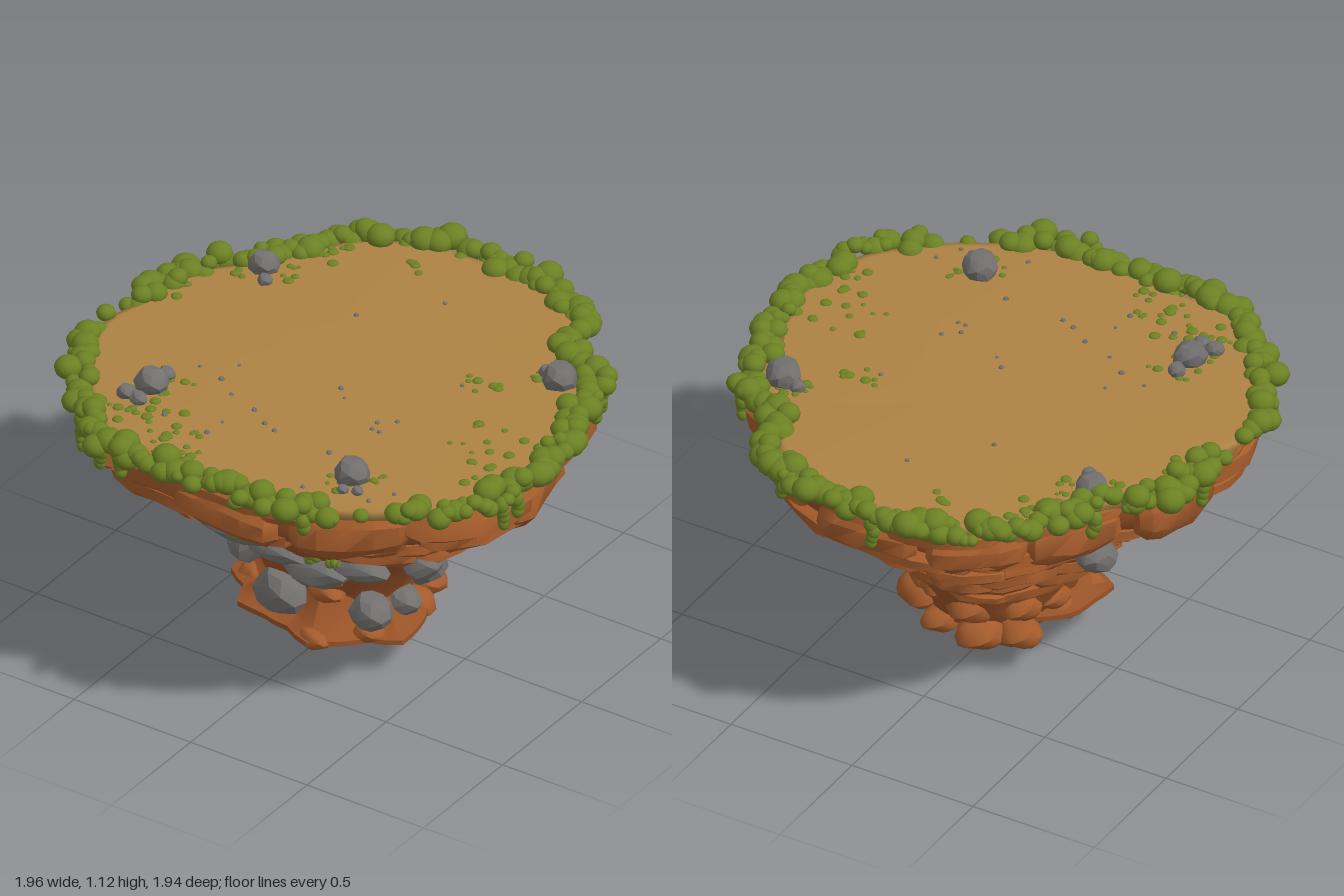
import * as THREE from 'three';
import { mergeGeometries, toCreasedNormals } from 'three/addons/utils/BufferGeometryUtils.js';

const TAU = Math.PI * 2, DEG = Math.PI / 180;
let seed = 7;
const rnd = (a = 0, b = 1) => {
  seed = (seed * 16807) % 2147483647;
  return a + (b - a) * seed / 2147483647;
};

// Plan shapes: one radius every 15 degrees, from +x towards +z
const OUTLINE = [.88, .95, .97, .94, .92, .91, .87, .89, .97, .95, .95, .95,
  .88, .87, .81, .82, .88, .90, .88, .89, .89, .80, .87, .85];
const LEDGE = [.34, .39, .44, .39, .43, .46, .39, .40, .44, .38, .42, .37,
  .34, .28, .24, .24, .24, .24, .24, .24, .24, .24, .24, .28];
function radiusAt(list, a) {
  const t = (((a / TAU) % 1) + 1) % 1 * 24, i = Math.floor(t), f = t - i;
  const s = f * f * (3 - 2 * f);
  return list[i % 24] * (1 - s) + list[(i + 1) % 24] * s;
}
const outline = a => radiusAt(OUTLINE, a);

// Side profile: [height, share of the outline]
const PROFILE = [[0, .04], [.05, .12], [.1, .2], [.15, .29], [.25, .33], [.35, .385], [.44, .47], [.54, .58],
  [.63, .67], [.72, .74], [.8, .81], [.84, .95], [.92, .97], [1.02, .97]];
function share(y) {
  const k = Math.max(1, PROFILE.findIndex(p => p[0] >= y));
  const [y0, s0] = PROFILE[k - 1], [y1, s1] = PROFILE[k];
  return s0 + (s1 - s0) * (y - y0) / (y1 - y0);
}
// The front face is scooped in halfway up
const envelope = (a, y) => outline(a) * share(y) -
  .06 * Math.max(0, Math.sin(a)) * Math.max(0, 1 - Math.abs(y - .49) / .14);
const polar = (a, r, y) => new THREE.Vector3(r * Math.cos(a), y, r * Math.sin(a));

// Surface from a grid of points; rows run upwards, columns run with the angle
function grid(rows, cols, fn) {
  const pos = [], idx = [], w = cols + 1;
  for (let i = 0; i <= rows; i++) for (let j = 0; j <= cols; j++) pos.push(...fn(i, j).toArray());
  for (let i = 0; i < rows; i++) for (let j = 0; j < cols; j++) {
    const p = i * w + j;
    idx.push(p, p + w, p + 1, p + 1, p + w, p + w + 1);
  }
  const g = new THREE.BufferGeometry();
  g.setAttribute('position', new THREE.Float32BufferAttribute(pos, 3));
  g.setIndex(idx);
  g.computeVertexNormals();
  return g;
}

// Rock slab bent along the outline, with tapered ends and uneven edges
function slab(a, span, y, h, depth, out) {
  const along = [0, 0, .09, .3, .52, .75, .91, 1, 1], taper = [0, .55, .9, 1, 1.03, 1, .9, .55, 0];
  const uneven = Array.from({ length: 72 }, () => rnd(.86, 1.08));
  const tilt = rnd(-.03, .03);
  const g = grid(8, 8, (k, j) => {
    const t = (k % 8 + .5) / 8 * TAU, n = uneven[j * 8 + k % 8] * taper[j];
    const ang = a + (along[j] - .5) * span;
    return polar(ang, envelope(ang, y) + out - depth + depth * 1.08 * Math.cos(t) * n,
      y + tilt * (along[j] - .5) + h * .54 * Math.sin(t) * n);
  });
  return toCreasedNormals(g, .7);
}

// Lumpy stone placed at p with half sizes s
function stone(p, s, detail = 1, rough = .13, crease = .4) {
  const g = new THREE.IcosahedronGeometry(1, detail), q = g.attributes.position, k = rnd(0, 9);
  for (let i = 0; i < q.count; i++) {
    const x = q.getX(i), y = q.getY(i), z = q.getZ(i);
    const f = 1 + rough * Math.sin(3.1 * x + 2.3 * y + k) * Math.cos(2.7 * z - 1.9 * y + k);
    q.setXYZ(i, x * f, y * f, z * f);
  }
  g.rotateY(rnd(-.3, .3));
  g.scale(...s);
  g.translate(...p);
  return toCreasedNormals(g, crease);
}
const boulder = (p, s) => stone(p, s, 2, .16, .8);
const ball = (p, r, sy = 1) => new THREE.SphereGeometry(r, 12, 8).scale(1, sy, 1).translate(p.x, p.y, p.z);

export function createModel() {
  seed = 7;
  const group = new THREE.Group();
  const add = (name, color, geo) => {
    const mesh = new THREE.Mesh(Array.isArray(geo) ? mergeGeometries(geo) : geo,
      new THREE.MeshStandardMaterial({ color }));
    mesh.name = name;
    group.add(mesh);
    return mesh;
  };
  const ROCK = 0xa45b2b, CORE = 0x985227, GRASS = 0x6c8124, GREY = 0x71706e, SOIL_Y = 1.038;

  // Tapering core
  add('cliffCore', CORE, grid(PROFILE.length - 1, 72, (i, j) => {
    const a = j / 72 * TAU, y = PROFILE[i][0];
    return polar(a, Math.max(.01, envelope(a, y) - .015 + .008 * Math.sin(a * 9 + i * 2)), y + .01);
  }));

  // Flat soil top with a rounded edge
  const soil = [[.96, .95], [1.0, .99], [1.03, .985], [SOIL_Y, .95], [SOIL_Y, 0]];
  add('soilTop', 0xad8243, grid(4, 72, (i, j) => {
    const a = j / 72 * TAU;
    return polar(a, outline(a) * soil[i][1], soil[i][0]);
  }));

  // Rows of slabs; the lower rows leave the hollow front face open
  const slabs = [];
  for (const [y, h, count, depth, out] of [[.91, .2, 13, .08, .035], [.97, .09, 11, .07, .025], [.845, .1, 12, .08, .02],
    [.765, .1, 14, .07, .01], [.69, .1, 13, .06, .01], [.61, .1, 12, .06, .008], [.525, .1, 11, .06, .008],
    [.44, .1, 9, .05, .008], [.35, .09, 8, .05, .008]]) {
    const phase = rnd(0, 1);
    for (let i = 0; i < count; i++) {
      const a = ((i + phase + rnd(-.2, .2)) / count * TAU) % TAU, d = a / DEG;
      const open = y < .5 ? d < 185 || d > 335 : y < .6 ? d < 172 : y < .8 && d > 45 && d < 130;
      if (open) continue;
      slabs.push(slab(a, TAU / count * rnd(.85, 1.3), y + rnd(-.02, .02), h * rnd(.7, 1.12), depth, out + rnd(-.016, .014)));
    }
  }
  slabs.push(slab(112 * DEG, .3, .74, .07, .05, .0), slab(126 * DEG, .3, .66, .08, .05, .005));
  add('rockSlabs', ROCK, slabs);

  // Rounded boulders gathered around the foot
  const boulders = [boulder([0, .062, 0], [.08, .058, .08])];
  for (const [n, r, y, size, from, to] of [[6, .25, .165, .08, 170, 385], [5, .23, .25, .075, 185, 350],
    [7, .13, .115, .08, 0, 360]])
    for (let i = 0; i < n; i++) {
      const a = (from + (to - from) * (i + rnd(0, .5)) / n) * DEG, s = size * rnd(.75, 1.15);
      boulders.push(boulder(polar(a, r, y + rnd(-.02, .02)).toArray(), [s * 1.15, s * .75, s * 1.1]));
    }
  boulders.push(boulder([.1, .29, .28], [.07, .04, .05]), boulder([.12, .37, .31], [.06, .035, .04]),
    boulder([.26, .17, .25], [.06, .035, .06]), boulder([-.27, .18, .18], [.07, .04, .06]),
    boulder([.12, .16, .4], [.06, .035, .04]));
  add('footBoulders', ROCK, boulders);

  // Jagged ledge flaring out of the core at the front of the foot
  const skirt = [[.125, 0], [.145, .8], [.152, 1], [.172, 1], [.19, .85], [.25, .72], [.33, .6]];
  const ledge = grid(skirt.length - 1, 48, (i, j) => {
    const a = j / 48 * TAU, [y, k] = skirt[i];
    return polar(a, radiusAt(LEDGE, a) * k, y - .02 * Math.cos(a) * k + .006 * Math.sin(a * 7) * k);
  });
  add('frontLedge', CORE, toCreasedNormals(ledge, .6));

  // Two small hollows with raised rims
  for (const [name, a, y, sx, sy] of [['frontHollow', 62, .73, .1, .065], ['sideHollow', 14, .4, .06, .035]]) {
    const rim = add(name + 'Rim', ROCK, new THREE.TorusGeometry(1, .12, 8, 24));
    const hole = add(name, 0x7c4321, new THREE.SphereGeometry(1, 20, 10));
    const p = polar(a * DEG, envelope(a * DEG, y) - .012, y);
    for (const m of [rim, hole]) {
      m.position.copy(p);
      m.lookAt(p.x * 2, p.y - .3, p.z * 2);
      m.scale.set(sx, sy, m === rim ? .08 : .015);
    }
  }

  // Grey stones set into the cliff: position, half sizes
  add('cliffStones', GREY, [
    [-.43, .595, .37, .1, .055, .08], [-.18, .545, .43, .16, .055, .07], [-.02, .48, .38, .15, .045, .07],
    [.11, .44, .36, .14, .07, .08], [.3, .51, .36, .12, .05, .07], [.52, .575, .29, .07, .068, .08],
    [-.3, .31, .2, .075, .065, .07], [-.08, .23, .29, .11, .1, .09], [.27, .25, .25, .08, .07, .08],
    [.28, .22, .08, .08, .06, .07], [.27, .28, -.08, .08, .08, .09], [-.55, .65, -.23, .08, .06, .08],
  ].map(([x, y, z, ...s]) => stone([x, y, z], s)));

  // Loose stones and pebbles on the soil
  const tops = [[-.62, -.38, .056], [-.57, -.31, .028], [.67, -.35, .066], [.6, -.37, .03], [-.51, .49, .062], [-.51, .4, .033],
    [-.56, .58, .035], [-.5, .59, .032], [.41, .58, .066], [.43, .67, .022], [.48, .65, .022]];
  const loose = tops.map(([x, z, r]) => stone([x, SOIL_Y + r * .5, z], [r, r * .85, r]));
  for (let i = 0; i < 24; i++)
    loose.push(stone([rnd(-.5, .6), SOIL_Y, rnd(-.6, .8)], Array(3).fill(rnd(.007, .013)), 0));
  add('looseStones', GREY, loose);

  // Bushy grass border of mixed clumps, sparser in two stretches
  const grass = [];
  for (let i = 0; i < 260; i++) {
    const a = (i + rnd(-.4, .4)) / 260 * TAU, d = a / DEG;
    const bare = (d > 47 && d < 59) || (d > 164 && d < 176);
    if (bare && rnd() < .85) continue;
    const r = rnd(.024, .056);
    grass.push(ball(polar(a, outline(a) + rnd(-.04, .05), 1.042 + rnd(-.026, .018)), r, .85));
  }
  add('grassBorder', GRASS, grass);

  // Hanging strands of grass
  const strands = [];
  for (const [d, n] of [[22, 4], [66, 2], [113, 3], [118, 3], [130, 5], [152, 2], [185, 4], [215, 3],
    [268, 4], [295, 3], [330, 4], [336, 3], [18, 3]])
    for (let k = 0; k < n; k++)
      strands.push(ball(polar(d * DEG + rnd(-.01, .01), outline(d * DEG) + .03, 1.0 - k * .026), .028 - k * .002, 1.2));
  add('grassStrands', GRASS, strands);

  // Low tufts on the soil and moss on the cliff: centre, spread, count
  const tufts = [];
  for (const [x, z, s, n] of [[-.45, .65, .13, 22], [-.24, .76, .12, 20], [.68, .14, .13, 14], [.76, .3, .08, 6],
    [.44, -.2, .07, 8], [-.18, -.68, .04, 6], [.64, -.4, .09, 14], [-.6, -.37, .1, 14], [.42, .58, .12, 10],
    [-.5, .48, .12, 14], [-.82, -.1, .06, 7], [-.5, -.6, .07, 8]])
    for (let i = 0; i < n; i++) {
      const r = rnd(.009, .022);
      tufts.push(ball(new THREE.Vector3(x + rnd(-s, s), SOIL_Y, z + rnd(-s, s)), r, .5));
    }
  for (const [x, y, z] of [[-.08, .62, .57], [.14, .51, .41], [.21, .51, .4], [.38, .81, .67]])
    for (let i = 0; i < 3; i++) tufts.push(ball(new THREE.Vector3(x + rnd(-.03, .03), y + rnd(-.012, .012), z), .02));
  add('grassTufts', GRASS, tufts);

  return group;
}
